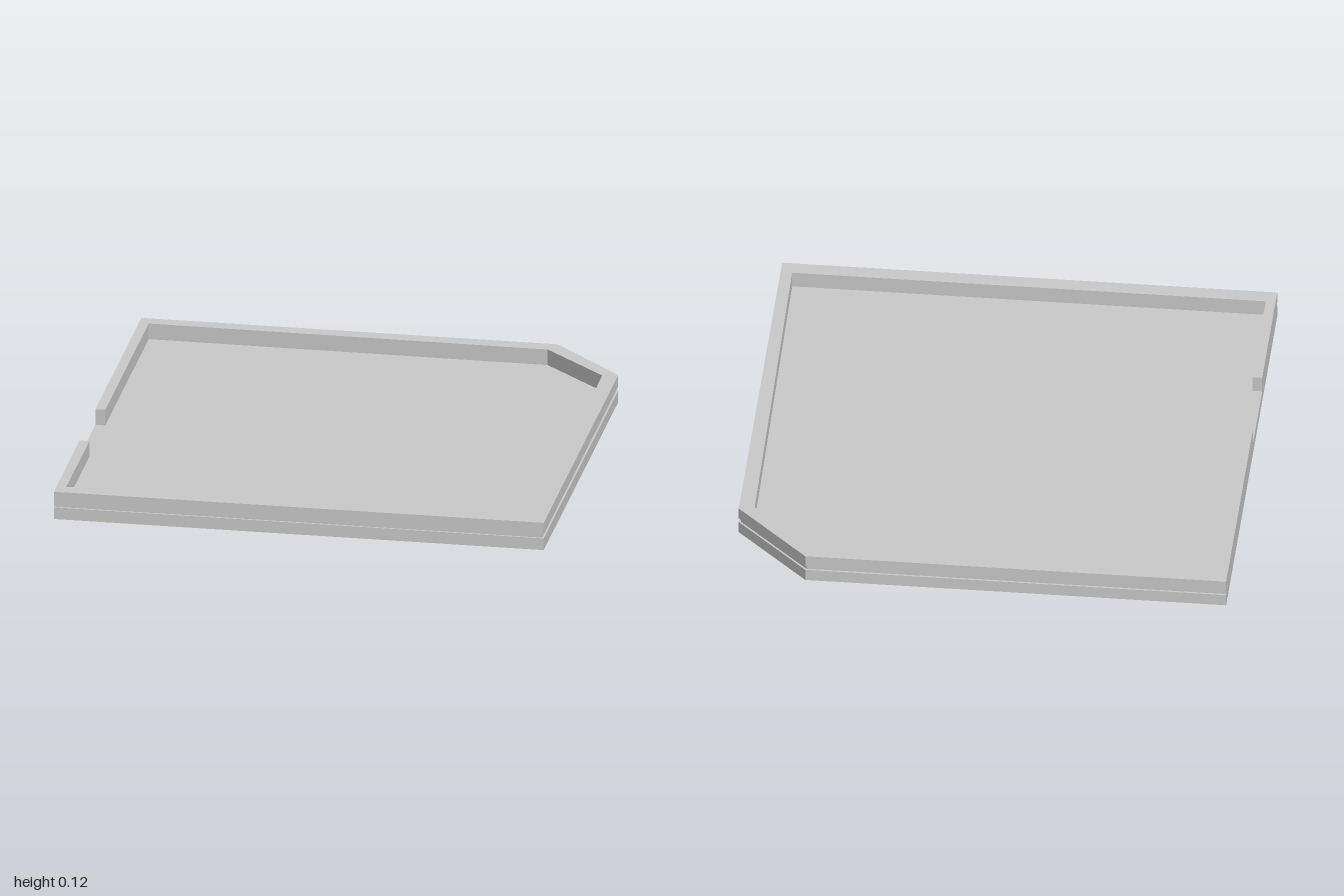
import * as THREE from 'three';

const material = new THREE.MeshStandardMaterial({ color: 0xcccccc, flatShading: true });

// Extrude a plan outline of [x, z] points upward from y0 to y1.
function slab(name, points, y0, y1) {
  const shape = new THREE.Shape(points.map(([x, z]) => new THREE.Vector2(x, -z)));
  const geometry = new THREE.ExtrudeGeometry(shape, { depth: y1 - y0, bevelEnabled: false });
  geometry.rotateX(-Math.PI / 2);
  geometry.translate(0, y0, 0);
  const mesh = new THREE.Mesh(geometry, material);
  mesh.name = name;
  return mesh;
}

// Square outline with one clipped rear corner; inset leaves the -x side flush.
function outline(inset) {
  const e = 1 - inset;
  const c = 0.7 - inset * 0.41;
  return [[-1, e], [e, e], [e, -c], [c, -e], [-1, -e]];
}

// Rim ring, broken by the opening in the -x wall.
const gapBack = 0.05, gapFront = 0.41, innerX = -0.96;
function rim(inset) {
  return [
    [-1, gapFront],
    ...outline(inset),
    [-1, gapBack], [innerX, gapBack],
    [innerX, -0.942], [0.67, -0.935], [0.937, -0.685], [0.953, 0.935], [innerX, 0.935],
    [innerX, gapFront],
  ];
}

export function createModel() {
  const group = new THREE.Group();
  group.name = 'tray';
  group.add(
    slab('basePlate', outline(0), 0, 0.05),
    // recessed band forming the groove around the edge
    slab('grooveBand', rim(0.008), 0.05, 0.068),
    slab('upperRim', rim(0), 0.068, 0.117),
  );
  return group;
}
